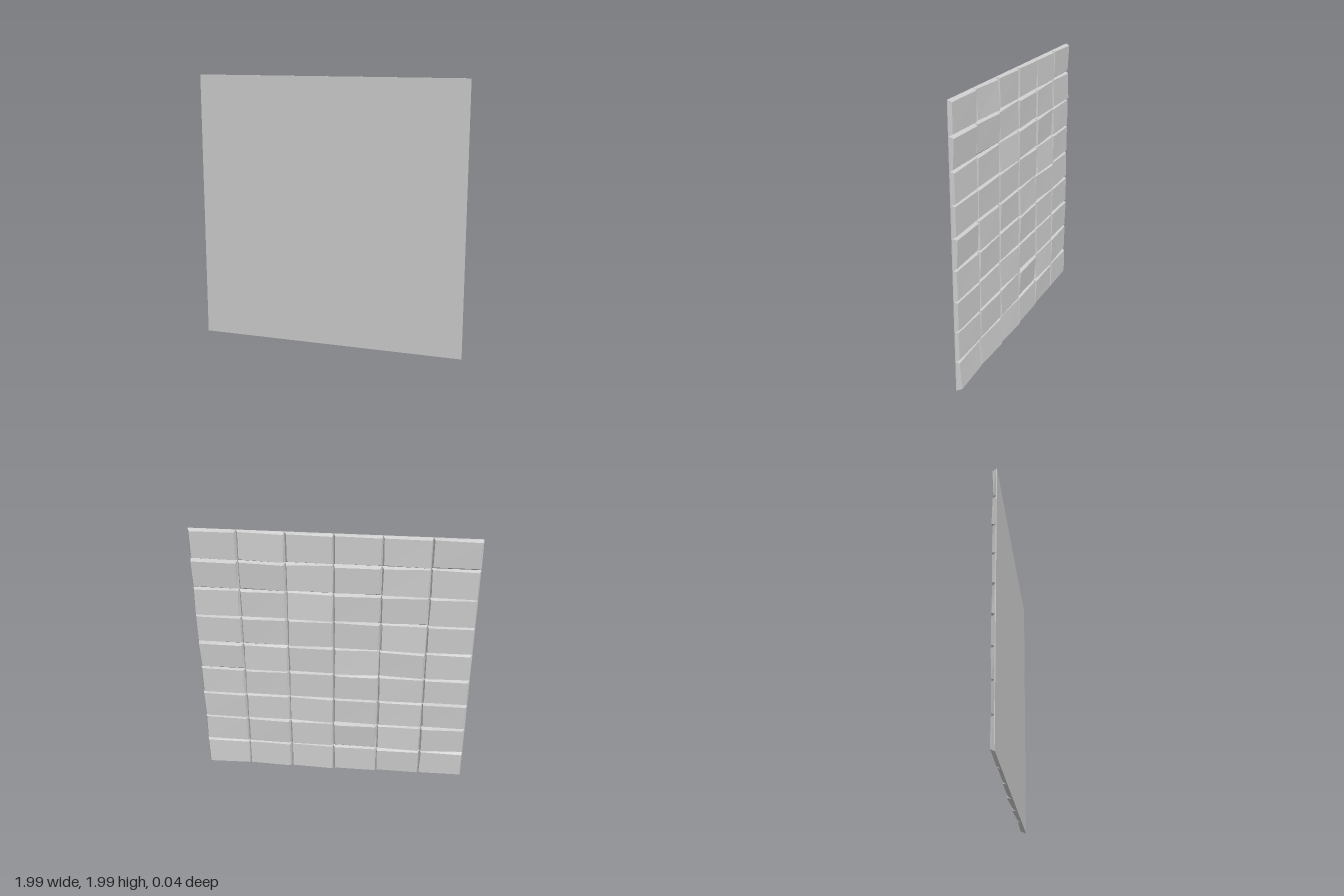
import * as THREE from 'three';

const COLS = 6, ROWS = 9;
const LEFT = -0.995, BOTTOM = 0.01, WIDTH = 1.985, HEIGHT = 1.985;
const FRONT = 0.022, SEAM = 0.017, BACK = -0.007, INSET = 0.011;

// strongly tilted tiles: "row,column" -> outward rise toward [+x, +y]; row 0 is the top, column 0 is at +x
const TILTS = {
  '0,1': [-0.004, -0.006], '1,0': [-0.002, 0.007], '1,1': [-0.007, 0.005],
  '2,2': [-0.004, -0.008], '2,4': [0.006, 0.004], '3,4': [-0.003, -0.008],
  '4,0': [0.003, 0.006], '4,3': [0.004, -0.005], '4,4': [-0.009, 0.002],
  '5,3': [0.005, 0.003], '6,2': [-0.005, -0.005], '7,3': [0.002, 0.009],
  '7,4': [-0.005, -0.006], '8,0': [0.004, -0.006], '8,1': [-0.006, -0.005],
  '8,2': [-0.006, -0.006],
};

function seeded(seed) {
  return () => {
    seed = (seed * 16807) % 2147483647;
    return (seed / 2147483647) * 2 - 1;
  };
}

// tapered block whose back face is tilted, with slightly uneven corners
function tileGeometry(w, h, tilt, random) {
  const geometry = new THREE.BoxGeometry(2, 2, 2);
  const p = geometry.attributes.position;
  const lift = Math.abs(tilt[0]) + Math.abs(tilt[1]);
  const corners = {};
  for (let i = 0; i < p.count; i++) {
    const sx = p.getX(i), sy = p.getY(i);
    if (p.getZ(i) > 0) {
      p.setXYZ(i, (sx * w) / 2, (sy * h) / 2, SEAM);
      continue;
    }
    const key = sx + ',' + sy;
    corners[key] ??= [
      sx * (w / 2 - INSET) + random() * 0.005,
      sy * (h / 2 - INSET) + random() * 0.005,
      BACK - sx * tilt[0] - sy * tilt[1] - lift * 0.1 + random() * 0.001,
    ];
    p.setXYZ(i, ...corners[key]);
  }
  const flat = geometry.toNonIndexed();
  flat.computeVertexNormals();
  return flat;
}

export function createModel() {
  const model = new THREE.Group();
  model.name = 'tiledWallPanel';
  const material = new THREE.MeshStandardMaterial({ color: 0xcccccc, flatShading: true });
  const random = seeded(4217);

  // smooth front sheet
  const sheet = new THREE.Mesh(new THREE.BoxGeometry(WIDTH, HEIGHT, FRONT - SEAM), material);
  sheet.name = 'frontSheet';
  sheet.position.set(LEFT + WIDTH / 2, BOTTOM + HEIGHT / 2, (FRONT + SEAM) / 2);
  model.add(sheet);

  // uneven tiles on the back
  const tiles = new THREE.Group();
  tiles.name = 'backTiles';
  const w = WIDTH / COLS, h = HEIGHT / ROWS;
  for (let row = 0; row < ROWS; row++) {
    for (let col = 0; col < COLS; col++) {
      const tilt = TILTS[row + ',' + col] ?? [random() * 0.003, random() * 0.003];
      const tile = new THREE.Mesh(tileGeometry(w, h, tilt, random), material);
      tile.name = `tile_${row + 1}_${col + 1}`;
      tile.position.set(LEFT + WIDTH - (col + 0.5) * w, BOTTOM + HEIGHT - (row + 0.5) * h, 0);
      tiles.add(tile);
    }
  }
  model.add(tiles);
  return model;
}
